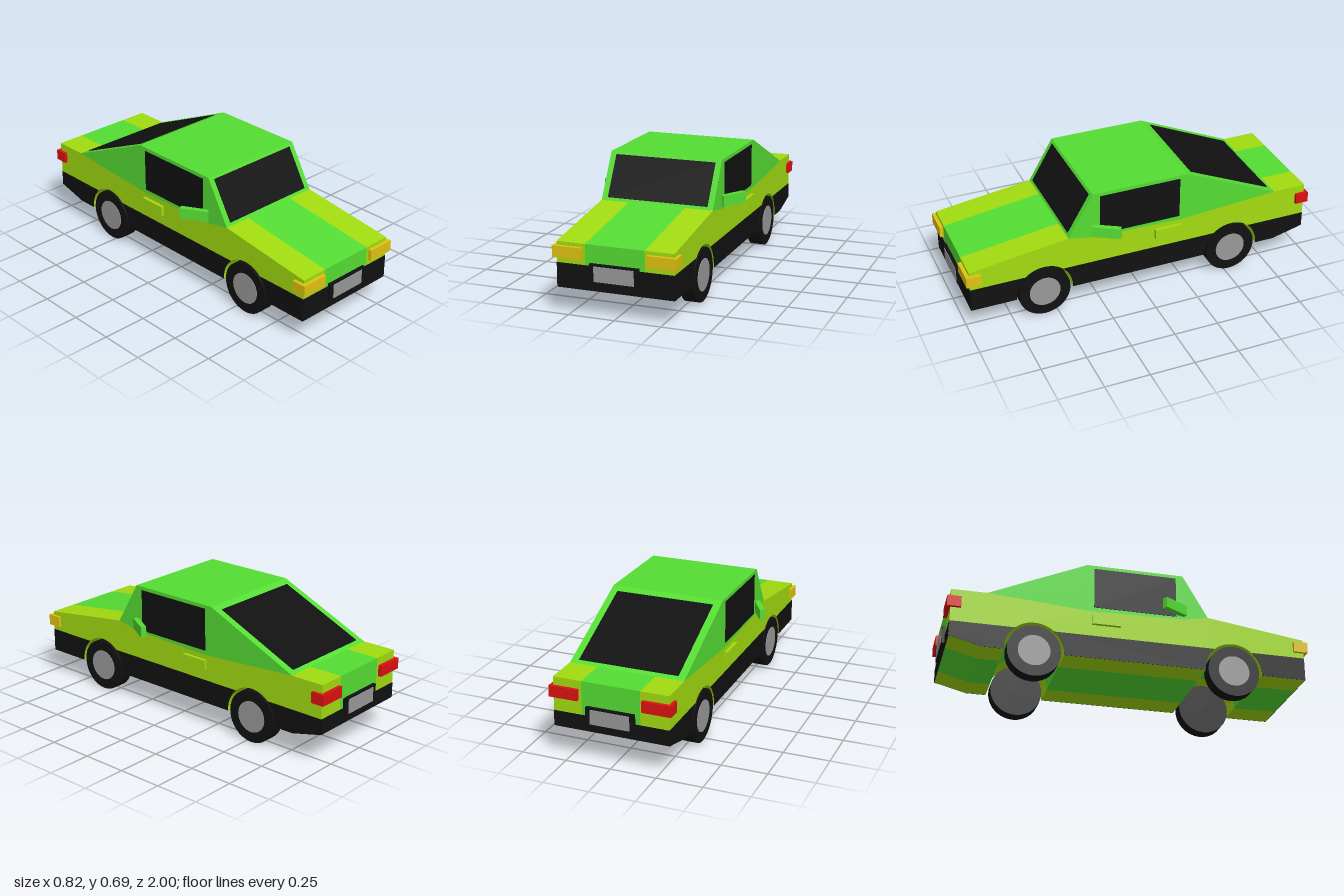
import * as THREE from 'three';

const W = 0.316;          // half width of the body
const STRIPE = 0.16;      // half width of the centre stripe
const SKIRT = 0.265;      // top of the black lower band
const AXLE_Y = 0.145, ARCH_R = 0.16, AXLES = [-0.53, 0.57];

const mat = (name, color) => {
  const m = new THREE.MeshStandardMaterial({ color });
  m.name = name;
  return m;
};

// Half-circle wheel arch as [z, y] points, from rear foot to front foot
function arch(zc) {
  const a0 = Math.asin((0.135 - AXLE_Y) / ARCH_R), n = 28, pts = [];
  for (let i = 0; i <= n; i++) {
    const a = Math.PI - a0 + (2 * a0 - Math.PI) * (i / n);
    pts.push([zc + ARCH_R * Math.cos(a), AXLE_Y + ARCH_R * Math.sin(a)]);
  }
  return pts;
}

// Extrudes a [z, y] side profile across x0..x1
function slab(pts, x0, x1) {
  const shape = new THREE.Shape(pts.map(([z, y]) => new THREE.Vector2(z, y)));
  const g = new THREE.ExtrudeGeometry(shape, { depth: x1 - x0, bevelEnabled: false });
  return g.rotateY(-Math.PI / 2).translate(x1, 0, 0);
}

export function createModel() {
  const car = new THREE.Group();
  car.name = 'car';
  const green = mat('green paint', 0x55dd33);
  const lime = mat('lime paint', 0xa2dc10);
  const black = mat('black', 0x111111);
  const grey = mat('grey', 0x999999);
  const amber = mat('amber', 0xdfc411);
  const red = mat('red', 0xdd1111);

  const add = (name, geometry, material) => {
    const m = new THREE.Mesh(geometry, material);
    m.name = name;
    car.add(m);
    return m;
  };
  // Box from its lower and upper limits
  const box = (name, material, [x0, x1], [y0, y1], [z0, z1]) => {
    const m = add(name, new THREE.BoxGeometry(x1 - x0, y1 - y0, z1 - z0), material);
    m.position.set((x0 + x1) / 2, (y0 + y1) / 2, (z0 + z1) / 2);
    return m;
  };
  // x range on the chosen side of the car
  const range = (s, a, b) => (s > 0 ? [a, b] : [-b, -a]);

  // Lower body in three lengthwise strips, with open wheel tunnels
  const arches = AXLES.map(arch);
  const belt = [[0.43, 0.45], [0.29, 0.422], [-0.22, 0.41], [-0.79, 0.45]];
  const lower = [
    [-0.98, 0.18], [-0.8, 0.135], ...arches[0], ...arches[1],
    [0.98, 0.135], [0.98, 0.375], ...belt, [-0.98, 0.45],
  ];
  add('centre body', slab(lower, -STRIPE, STRIPE), green);
  for (const s of [1, -1]) add('side body', slab(lower, ...range(s, STRIPE, W)), lime);

  // Cabin
  const cabin = [[0.29, 0.69], [-0.25, 0.69], ...belt.slice().reverse()];
  add('cabin', slab(cabin, -W, W), green);

  // Black lower band: three pieces per side between the arches, plus both ends
  const low = (k, side) => arches[k].filter(([z, y]) => y < SKIRT && (z - AXLES[k]) * side > 0);
  const dz = Math.sqrt(ARCH_R ** 2 - (SKIRT - AXLE_Y) ** 2);
  const top = (k, side) => [AXLES[k] + side * dz, SKIRT];
  const bands = [
    [[-0.98, 0.18], [-0.8, 0.135], ...low(0, -1), top(0, -1), [-0.98, SKIRT]],
    [top(0, 1), ...low(0, 1), ...low(1, -1), top(1, -1)],
    [top(1, 1), ...low(1, 1), [0.98, 0.135], [0.98, SKIRT]],
  ];
  for (const s of [1, -1])
    for (const b of bands) add('side skirt', slab(b, ...range(s, W, W + 0.002)), black);
  box('front skirt', black, [-W, W], [0.135, SKIRT], [0.98, 0.982]);
  box('rear skirt', black, [-W, W], [0.18, SKIRT], [-0.982, -0.98]);

  // Windscreen and rear window lie on the sloping cabin faces
  const windscreen = add('windscreen', new THREE.BoxGeometry(0.566, 0.243, 0.006), black);
  windscreen.position.set(0, 0.57, 0.36);
  windscreen.rotation.x = -Math.atan2(0.14, 0.24);
  const rearWindow = add('rearWindow', new THREE.BoxGeometry(0.55, 0.52, 0.006), black);
  rearWindow.position.set(0, 0.567, -0.5275);
  rearWindow.rotation.x = Math.atan2(0.54, 0.24);

  for (const s of [1, -1]) {
    box('side window', black, range(s, W - 0.002, W + 0.003), [0.435, 0.67], [-0.21, 0.25]);
    box('door handle', lime, range(s, W - 0.01, 0.335), [0.33, 0.385], [-0.22, -0.065]);
    box('headlight', amber, range(s, 0.175, 0.333), [0.295, 0.356], [0.92, 1]);
    box('tail light', red, range(s, 0.175, 0.333), [0.345, 0.405], [-1, -0.925]);

    // Angled door mirror
    const mirror = add('door mirror', new THREE.BoxGeometry(0.03, 0.06, 0.155), green);
    mirror.position.set(s * 0.36, 0.47, 0.23);
    mirror.rotation.y = -s * Math.PI / 6;

    // Wheels with flat hub discs
    for (const z of AXLES) {
      const tyre = add('tyre', new THREE.CylinderGeometry(0.145, 0.145, 0.077, 32), black);
      tyre.position.set(s * 0.2775, AXLE_Y, z);
      tyre.rotation.z = Math.PI / 2;
      const hub = add('hub', new THREE.CylinderGeometry(0.087, 0.087, 0.006, 32), grey);
      hub.position.set(s * 0.316, AXLE_Y, z);
      hub.rotation.z = Math.PI / 2;
    }
  }

  // Number plate holders and blank plates
  box('front plate holder', black, [-0.133, 0.133], [0.18, 0.28], [0.97, 0.997]);
  box('front plate', grey, [-0.108, 0.108], [0.19, 0.27], [0.996, 1]);
  box('rear plate holder', black, [-0.133, 0.133], [0.22, 0.32], [-0.997, -0.97]);
  box('rear plate', grey, [-0.108, 0.108], [0.23, 0.31], [-1, -0.996]);

  return car;
}
